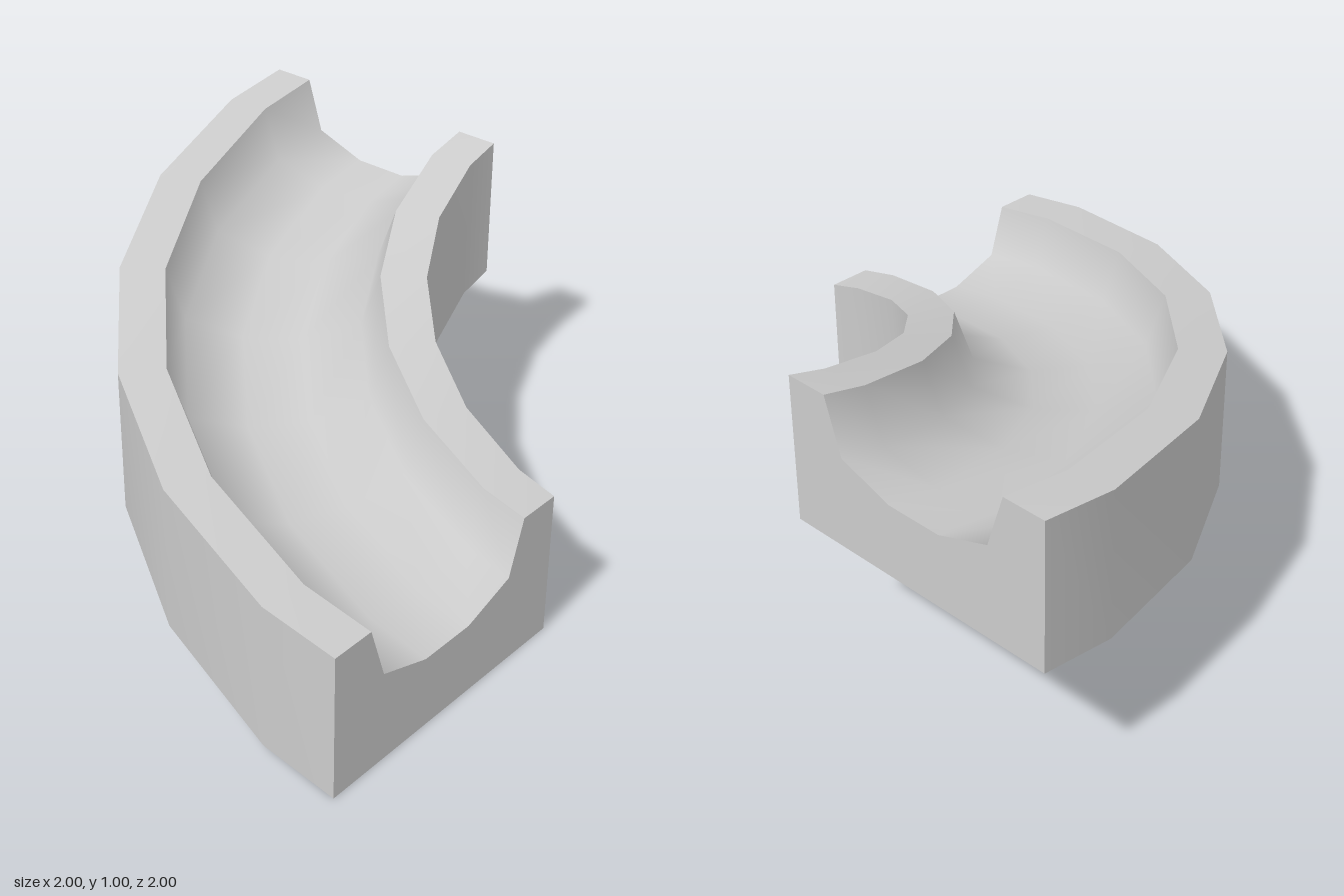
import * as THREE from 'three';
import { toCreasedNormals } from 'three/addons/utils/BufferGeometryUtils.js';

// Cross-section of the channel block: (distance from inner wall, height), counter-clockwise
const PROFILE = [
  [0, 0], [1, 0], [1, 0.5], [0.85, 0.5], [0.79, 0.315],
  [0.6, 0.25], [0.4, 0.25], [0.21, 0.315], [0.15, 0.5], [0, 0.5],
].map(([r, y]) => new THREE.Vector2(r, y));

// Stations round the quarter turn: angle in degrees and climb
const ANGLES = [0, 7.5, 22.5, 37.5, 52.5, 67.5, 82.5, 90];
const RISE = [0, 0.037, 0.118, 0.206, 0.294, 0.382, 0.463, 0.5];

function sweepGeometry() {
  const n = PROFILE.length;
  const positions = [];
  const index = [];

  // One ring of points per station; the corners lie outside the true arc
  ANGLES.forEach((deg, i) => {
    const a = THREE.MathUtils.degToRad(deg);
    const isEnd = i === 0 || i === ANGLES.length - 1;
    const stretch = isEnd ? 1 : 1 / Math.cos(THREE.MathUtils.degToRad(7.5));
    for (const p of PROFILE) {
      const r = (1 + p.x) * stretch;
      positions.push(1 - r * Math.sin(a), p.y + RISE[i], -1 + r * Math.cos(a));
    }
  });

  // Skin between neighbouring rings
  for (let i = 0; i < ANGLES.length - 1; i++) {
    for (let j = 0; j < n; j++) {
      const a = i * n + j;
      const b = i * n + (j + 1) % n;
      index.push(a, b, b + n, a, b + n, a + n);
    }
  }

  // Flat end faces
  const last = (ANGLES.length - 1) * n;
  for (const [a, b, c] of THREE.ShapeUtils.triangulateShape(PROFILE, [])) {
    index.push(a, c, b, last + a, last + b, last + c);
  }

  const geometry = new THREE.BufferGeometry();
  geometry.setAttribute('position', new THREE.Float32BufferAttribute(positions, 3));
  geometry.setIndex(index);
  return toCreasedNormals(geometry, THREE.MathUtils.degToRad(60));
}

export function createModel() {
  const group = new THREE.Group();
  group.name = 'curvedRampTrack';
  const track = new THREE.Mesh(
    sweepGeometry(),
    new THREE.MeshStandardMaterial({ color: 0xcccccc }),
  );
  track.name = 'channelBlock';
  group.add(track);
  return group;
}
